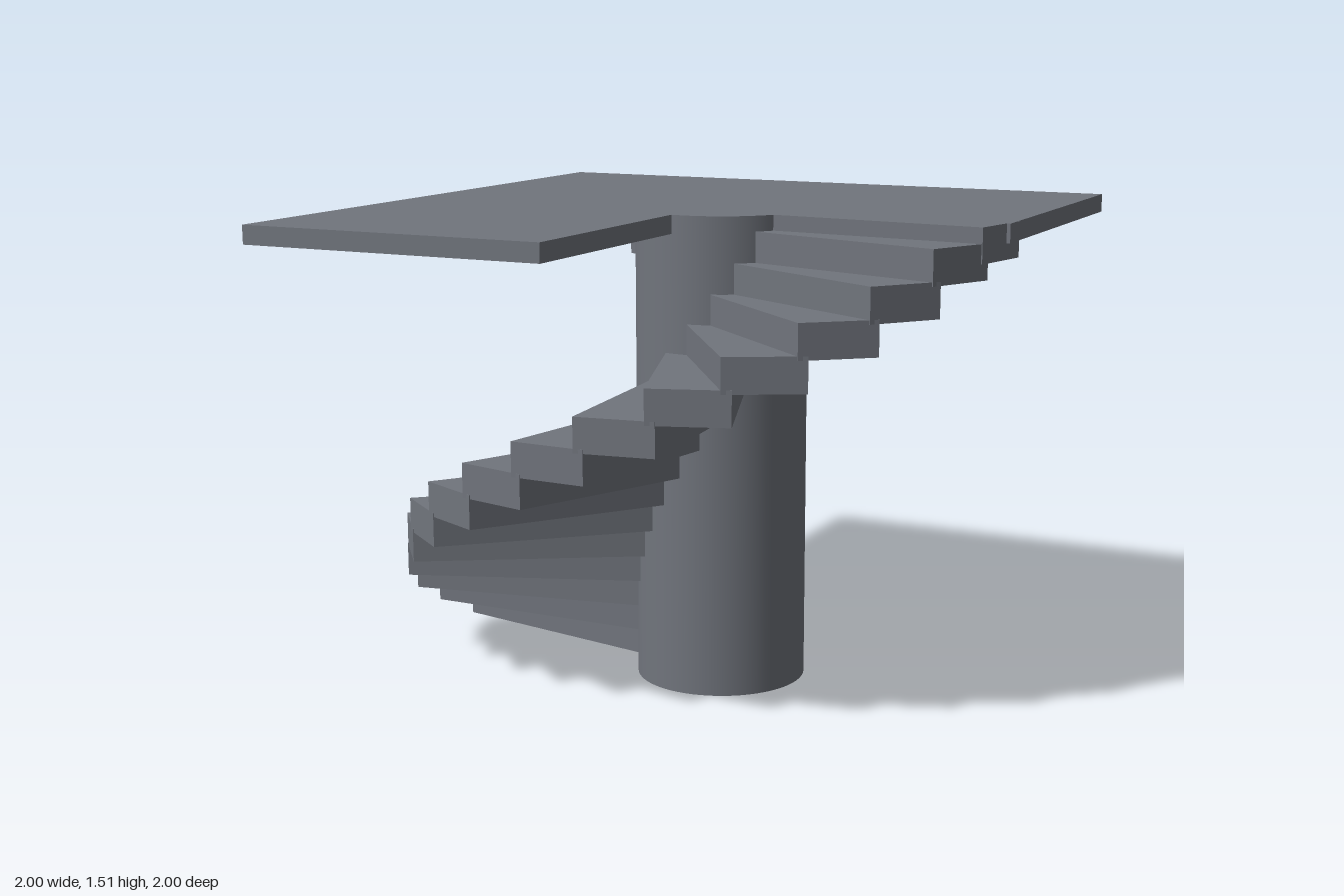
import * as THREE from 'three';

const STEPS = 16;
const RISE = 0.0945;
const THICK = 0.107;
const TOP = 1.515;
const SLAB = 0.058;
const TURN = THREE.MathUtils.degToRad(12.5);
const START = THREE.MathUtils.degToRad(-107.75);

// Blue-grey stone
const material = new THREE.MeshStandardMaterial({ color: 0x71757d });

function add(parent, name, geometry) {
  const mesh = new THREE.Mesh(geometry, material);
  mesh.name = name;
  parent.add(mesh);
  return mesh;
}

export function createModel() {
  const model = new THREE.Group();
  model.name = 'spiralStaircase';

  // Central column
  const column = add(model, 'column', new THREE.CylinderGeometry(0.271, 0.271, TOP, 64));
  column.position.set(0.037, TOP / 2, -0.055);

  // L-shaped upper floor, notched for the stairwell (drawn with shape y = -z)
  const outline = new THREE.Shape([
    [-1, -1], [-0.005, -1], [-0.005, 0], [0.993, 0], [0.993, 1], [-1, 1],
  ].map(([x, y]) => new THREE.Vector2(x, y)));
  const floor = new THREE.ExtrudeGeometry(outline, { depth: SLAB, bevelEnabled: false });
  floor.rotateX(-Math.PI / 2);
  add(model, 'upperFloor', floor).position.y = TOP - SLAB;

  // Treads: equal planks turned about the axis, the sweep squashed to an oval
  const oval = new THREE.Matrix4().set(
    0.992, 0, 0, 0.007,
    0, 1, 0, 0,
    -0.07, 0, 0.83, -0.048,
    0, 0, 0, 1,
  );
  const stairs = new THREE.Group();
  stairs.name = 'stairs';
  model.add(stairs);
  for (let i = 0; i < STEPS; i++) {
    const tread = new THREE.BoxGeometry(0.249, THICK, 1.234);
    tread.translate(0, 0, 0.375);
    tread.rotateY(START + i * TURN);
    tread.applyMatrix4(oval);
    // The last tread lies flush with the floor
    const bottom = Math.min(0.037 + i * RISE, TOP - THICK);
    add(stairs, `tread${i + 1}`, tread).position.y = bottom + THICK / 2;
  }
  return model;
}
